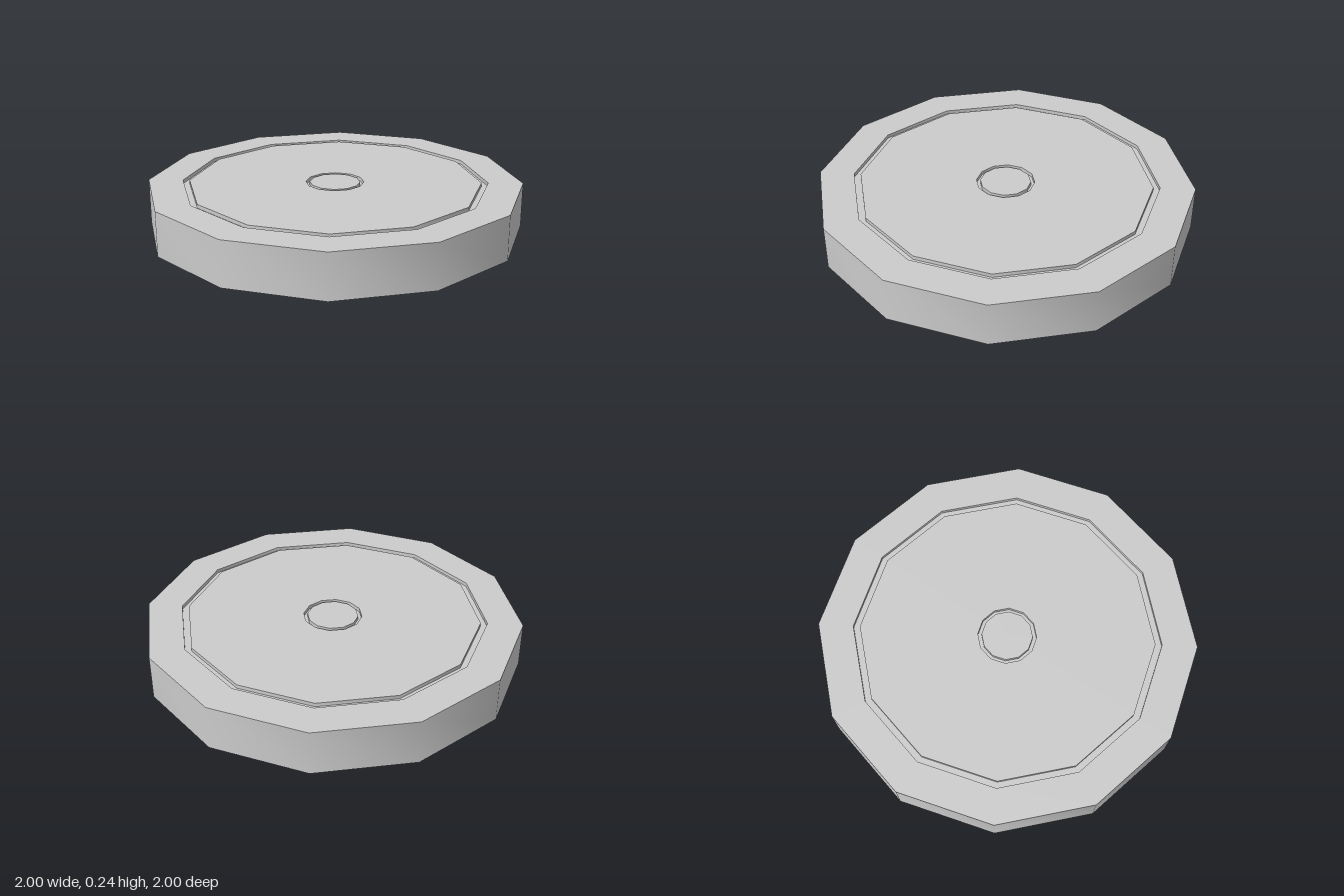
import * as THREE from 'three';
import { toCreasedNormals } from 'three/addons/utils/BufferGeometryUtils.js';

const SIDES = 12;
const HEIGHT = 0.24;
const GROOVE_DEPTH = 0.02;

// Profile points of a square groove, from its outer to its inner edge
function groove(outer, inner) {
  const floor = HEIGHT - GROOVE_DEPTH;
  return [[outer, HEIGHT], [outer, floor], [inner, floor], [inner, HEIGHT]];
}

export function createModel() {
  const group = new THREE.Group();
  group.name = 'groovedDisc';

  // Twelve-sided disc with a wide rim groove and a small centre groove
  const profile = [
    [0, 0], [1, 0], [1, HEIGHT],
    ...groove(0.815, 0.78),
    ...groove(0.155, 0.135),
    [0, HEIGHT],
  ].map(([r, y]) => new THREE.Vector2(r, y));

  // Round side stays smooth, profile corners stay sharp
  const geometry = toCreasedNormals(new THREE.LatheGeometry(profile, SIDES), THREE.MathUtils.degToRad(40));
  const disc = new THREE.Mesh(geometry, new THREE.MeshStandardMaterial({ color: 0xcccccc }));
  disc.name = 'disc';
  group.add(disc);

  return group;
}
